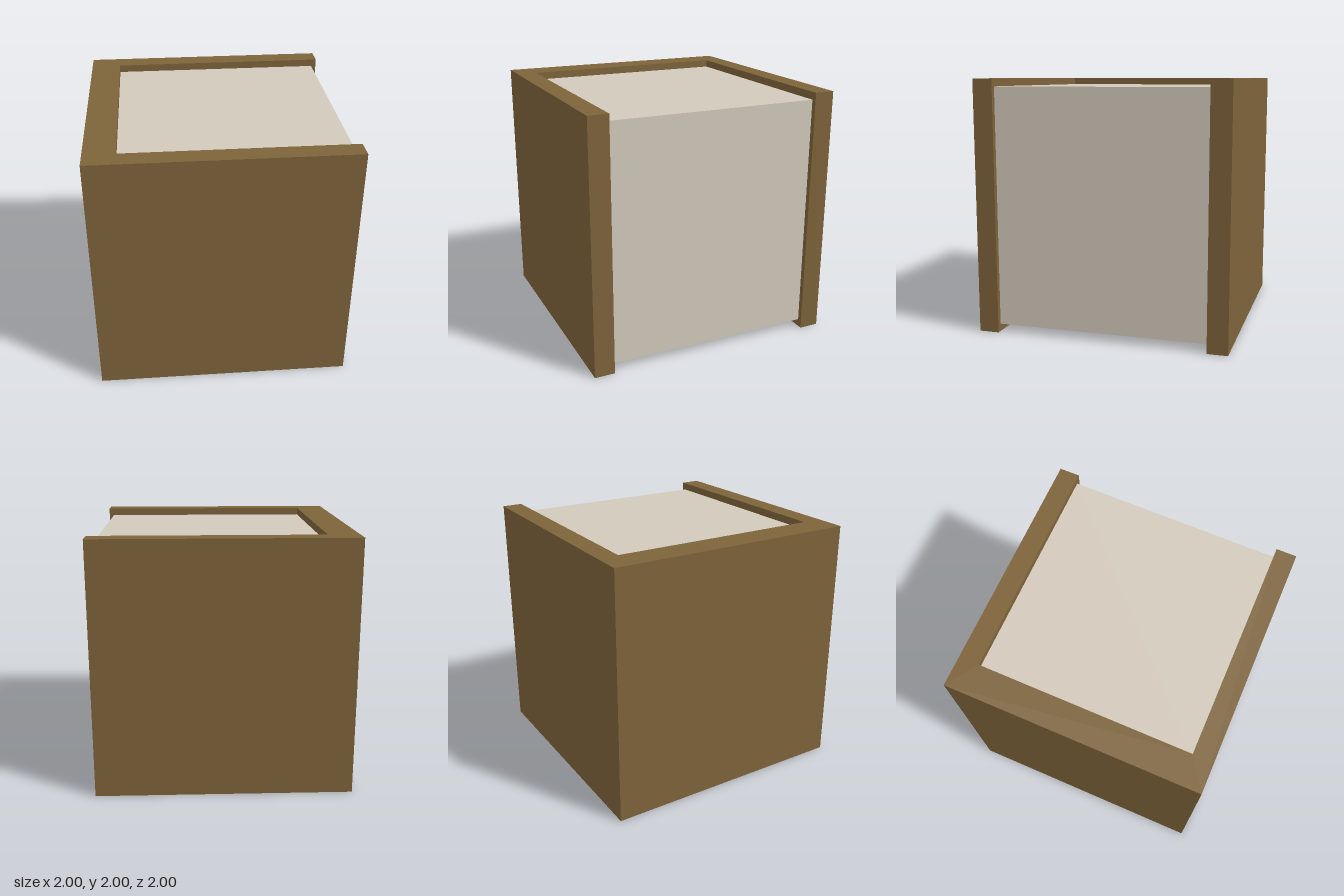
import * as THREE from 'three';

export function createModel() {
  const group = new THREE.Group();
  const coverMat = new THREE.MeshStandardMaterial({ color: 0x7d633a });
  const pageMat = new THREE.MeshStandardMaterial({ color: 0xd2c9bb });

  const half = 1, inner = 0.84, spineX = -0.76, pageEdgeX = 0.96, inset = 0.06;

  // Cover: two boards and the spine as one C-shaped section, extruded upwards
  const section = new THREE.Shape([
    [-half, -half], [half, -half], [half, -inner], [spineX, -inner],
    [spineX, inner], [half, inner], [half, half], [-half, half],
  ].map(([x, y]) => new THREE.Vector2(x, y)));
  const coverGeo = new THREE.ExtrudeGeometry(section, { depth: 2, bevelEnabled: false });
  coverGeo.rotateX(-Math.PI / 2);
  const cover = new THREE.Mesh(coverGeo, coverMat);
  cover.name = 'cover';
  group.add(cover);

  // Page block, set back from the cover at the top, bottom and open edge
  const pages = new THREE.Mesh(
    new THREE.BoxGeometry(pageEdgeX - spineX, 2 - 2 * inset, 2 * inner), pageMat);
  pages.position.set((pageEdgeX + spineX) / 2, 1, 0);
  pages.name = 'pages';
  group.add(pages);

  return group;
}
